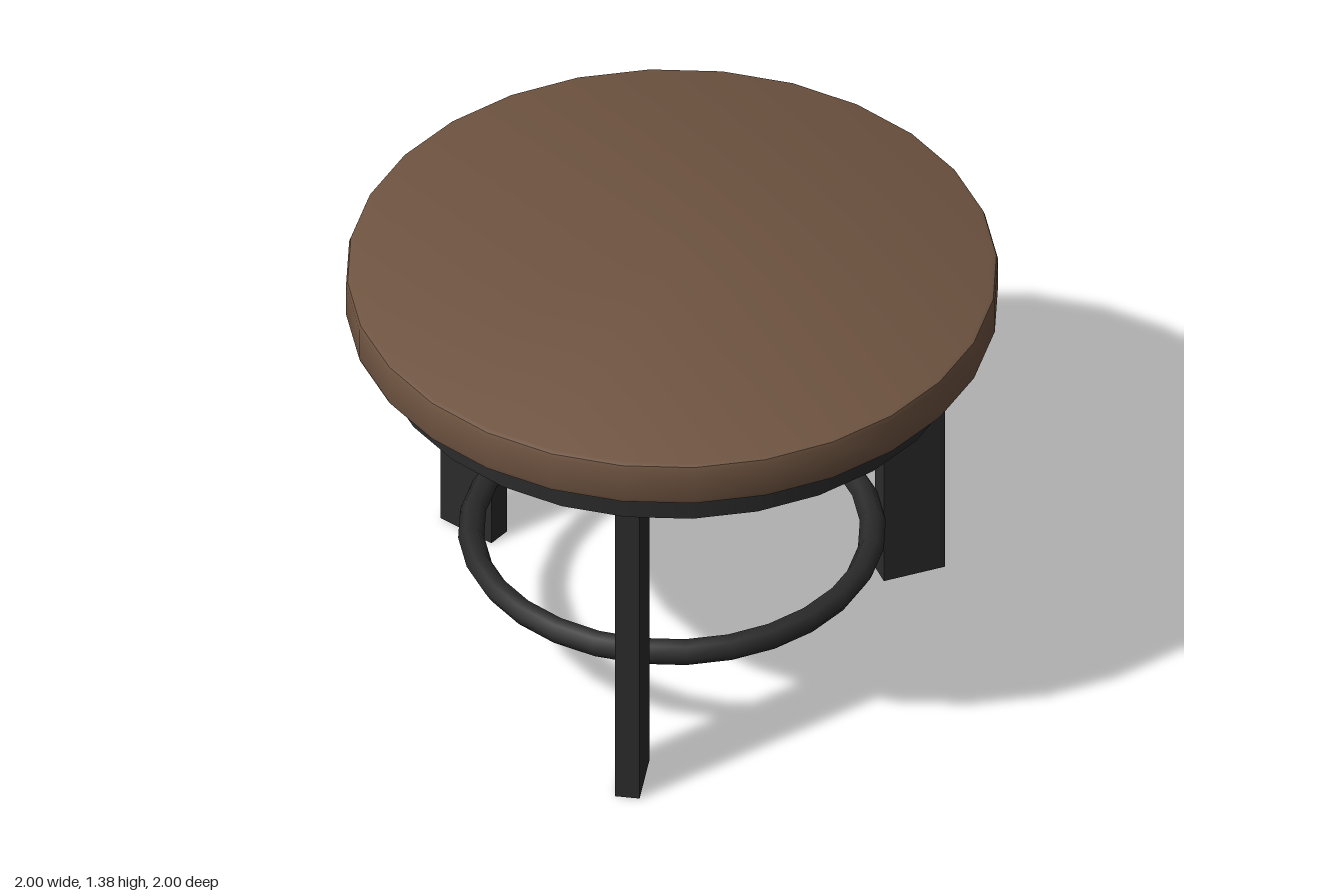
import * as THREE from 'three';
import { toCreasedNormals } from 'three/addons/utils/BufferGeometryUtils.js';

const SIDES = 28;

export function createModel() {
  const wood = new THREE.MeshStandardMaterial({ color: 0x6f5441 });
  wood.name = 'brown wood';
  const metal = new THREE.MeshStandardMaterial({ color: 0x2b2b2b });
  metal.name = 'dark metal';

  const table = new THREE.Group();
  table.name = 'roundTable';

  const add = (name, geometry, material, parent = table) => {
    const mesh = new THREE.Mesh(geometry, material);
    mesh.name = name;
    parent.add(mesh);
    return mesh;
  };

  // Round top with small eased edges
  const profile = [
    [0, 1.23], [0.982, 1.23], [0.995, 1.236], [1, 1.25],
    [1, 1.36], [0.995, 1.374], [0.982, 1.38], [0, 1.38],
  ].map(([r, y]) => new THREE.Vector2(r, y));
  add('tableTop', toCreasedNormals(new THREE.LatheGeometry(profile, SIDES), 0.6), wood);

  // Apron drum under the top
  add('apron', new THREE.CylinderGeometry(0.91, 0.91, 0.12, SIDES), metal).position.y = 1.17;

  // Three flat legs set radially, one at the front
  for (let i = 0; i < 3; i++) {
    const pivot = new THREE.Group();
    pivot.name = ['frontLeg', 'backLeftLeg', 'backRightLeg'][i];
    pivot.rotation.y = (i * Math.PI * 2) / 3;
    add('legPlank', new THREE.BoxGeometry(0.076, 1.115, 0.2), metal, pivot).position.set(0, 0.5575, 0.78);
    table.add(pivot);
  }

  // Six-sided stretcher ring between the legs
  const ring = add('stretcherRing', new THREE.TorusGeometry(0.616, 0.04, 6, SIDES), metal);
  ring.rotation.x = Math.PI / 2;
  ring.position.y = 0.365;

  return table;
}
